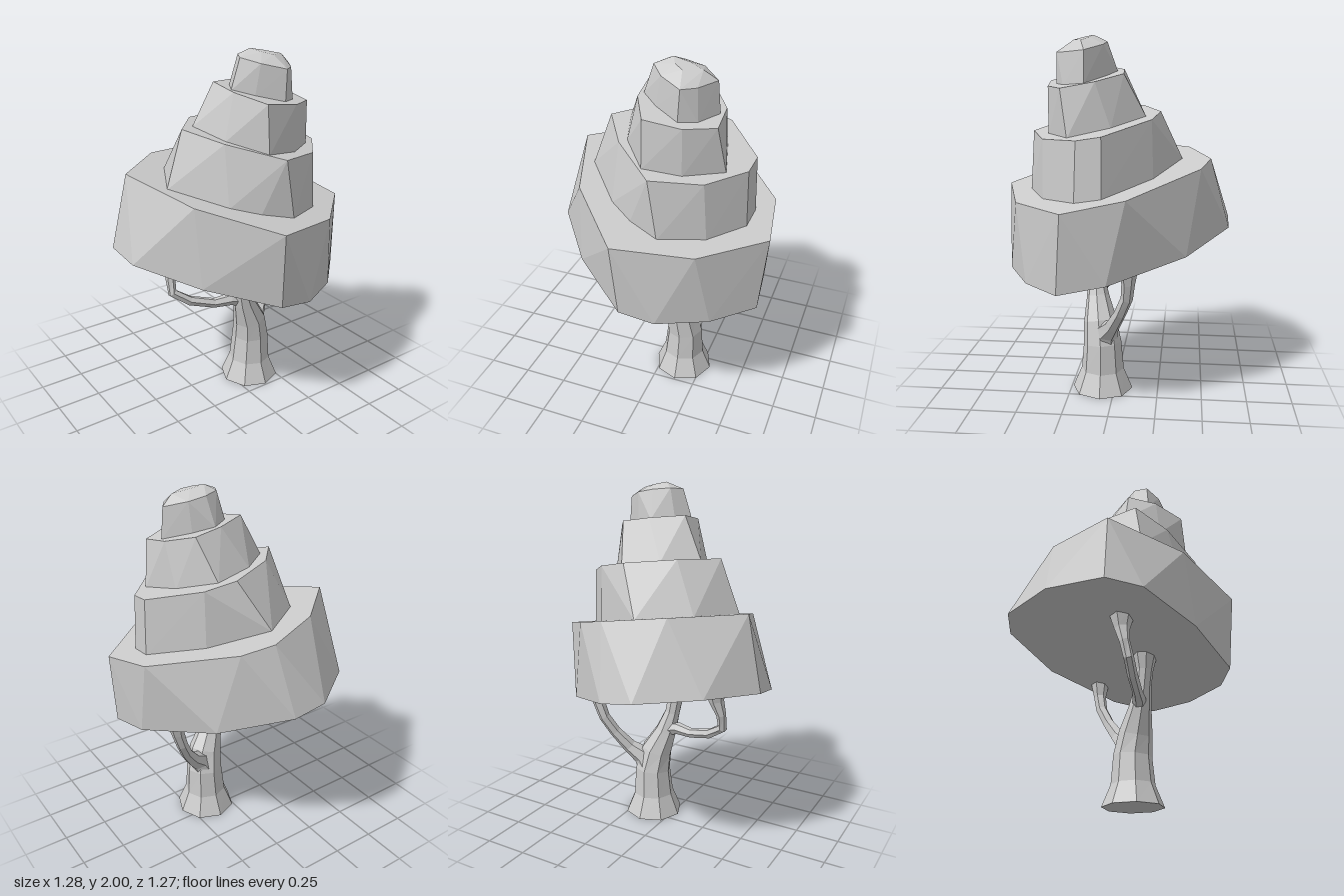
import * as THREE from 'three';
import { ConvexGeometry } from 'three/addons/geometries/ConvexGeometry.js';

const material = new THREE.MeshStandardMaterial({ color: 0xcccccc, flatShading: true });

// All foliage layers share one tilt, sloping down to the front left.
const ring = (level, points) =>
  points.map(([x, z]) => new THREE.Vector3(x, level - 0.158 * x - 0.172 * z, z));

// Faceted limb lofted through stations [x, y, z, radius].
function limbGeometry(stations, sides) {
  const centres = stations.map(([x, y, z]) => new THREE.Vector3(x, y, z));
  const rings = centres.map((c, i) => {
    const before = centres[Math.max(i - 1, 0)];
    const after = centres[Math.min(i + 1, centres.length - 1)];
    const t = after.clone().sub(before).normalize();
    const u = new THREE.Vector3(0, 0, 1).addScaledVector(t, -t.z).normalize();
    const v = t.clone().cross(u);
    const r = stations[i][3];
    return Array.from({ length: sides }, (_, k) => {
      const a = (k / sides) * Math.PI * 2;
      return c.clone().addScaledVector(u, Math.cos(a) * r).addScaledVector(v, Math.sin(a) * r);
    });
  });
  const corners = [];
  const last = rings.length - 1;
  for (let k = 0; k < sides; k++) {
    const n = (k + 1) % sides;
    for (let i = 0; i < last; i++) {
      const [a, b, c, d] = [rings[i][k], rings[i][n], rings[i + 1][n], rings[i + 1][k]];
      corners.push(a, b, c, a, c, d);
    }
    corners.push(centres[0], rings[0][n], rings[0][k]);
    corners.push(centres[last], rings[last][k], rings[last][n]);
  }
  const geometry = new THREE.BufferGeometry().setFromPoints(corners);
  geometry.computeVertexNormals();
  return geometry;
}

export function createModel() {
  const tree = new THREE.Group();
  tree.name = 'tree';
  const add = (name, geometry) => {
    const mesh = new THREE.Mesh(geometry, material);
    mesh.name = name;
    tree.add(mesh);
  };

  // Trunk and its two side branches
  add('trunk', limbGeometry([
    [0.13, 0, 0.07, 0.172], [0.13, 0.12, 0.07, 0.122], [0.135, 0.28, 0.07, 0.108],
    [0.115, 0.4, 0.085, 0.095], [0.06, 0.53, 0.105, 0.065], [0.025, 0.65, 0.12, 0.046],
    [0.01, 0.74, 0.128, 0.048], [0.005, 0.85, 0.13, 0.075],
  ], 8));
  add('leftBranch', limbGeometry([
    [0.13, 0.26, 0.06, 0.085], [0.19, 0.36, 0.04, 0.062], [0.26, 0.42, 0, 0.042],
    [0.33, 0.52, -0.05, 0.034], [0.38, 0.62, -0.09, 0.033],
    [0.41, 0.71, -0.1, 0.036], [0.425, 0.83, -0.1, 0.06],
  ], 6));
  add('rightBranch', limbGeometry([
    [0.06, 0.54, 0.1, 0.04], [-0.03, 0.563, 0.09, 0.036], [-0.13, 0.56, 0.07, 0.028],
    [-0.27, 0.6, 0.03, 0.028], [-0.365, 0.665, 0, 0.027], [-0.365, 0.75, -0.02, 0.028],
    [-0.34, 0.83, -0.03, 0.042], [-0.33, 0.92, -0.03, 0.07],
  ], 6));

  // Foliage: stacked tilted tiers, each a hull of a lower and an upper outline
  add('foliageTier1', new ConvexGeometry([
    ...ring(0.835, [[-0.645, -0.145], [-0.46, -0.435], [-0.17, -0.64], [0.02, -0.635], [0.35, -0.4],
      [0.58, 0], [0.605, 0.25], [0.4, 0.45], [0.14, 0.59], [-0.06, 0.6], [-0.39, 0.35], [-0.63, 0.05]]),
    ...ring(1.26, [[-0.555, -0.125], [-0.24, -0.41], [0.08, -0.525], [0.25, -0.47], [0.59, -0.1],
      [0.64, 0.22], [0.33, 0.51], [-0.08, 0.635], [-0.4, 0.3]]),
  ]));
  add('foliageTier2', new ConvexGeometry([
    ...ring(1.255, [[-0.42, 0.07], [-0.28, -0.2], [-0.02, -0.37], [0.29, -0.22], [0.51, 0.03],
      [0.5, 0.17], [0.34, 0.36], [0.11, 0.47], [-0.06, 0.41], [-0.2, 0.32]]),
    ...ring(1.57, [[-0.31, 0.05], [-0.145, -0.14], [0.12, -0.25], [0.29, -0.21], [0.5, 0.03],
      [0.49, 0.16], [0.32, 0.36], [0.06, 0.46], [-0.18, 0.25]]),
  ]));
  add('foliageTier3', new ConvexGeometry([
    ...ring(1.565, [[-0.215, 0], [-0.04, -0.135], [0.18, -0.175], [0.33, 0], [0.39, 0.22],
      [0.2, 0.35], [0, 0.39], [-0.15, 0.21]]),
    ...ring(1.82, [[-0.1, 0.03], [0.08, -0.05], [0.24, -0.06], [0.34, 0.08], [0.35, 0.26],
      [0.2, 0.35], [0, 0.37], [-0.09, 0.2]]),
  ]));
  add('foliageTop', new ConvexGeometry([
    ...ring(1.815, [[-0.075, 0.155], [-0.02, 0.06], [0.09, -0.015], [0.2, 0.035], [0.325, 0.14],
      [0.25, 0.26], [0.16, 0.31], [0.02, 0.235]]),
    ...ring(1.985, [[-0.02, 0.155], [0.02, 0.08], [0.11, 0.04], [0.21, 0.05], [0.31, 0.14],
      [0.24, 0.25], [0.17, 0.305], [0.05, 0.24]]),
    ...ring(2.03, [[0.07, 0.12], [0.15, 0.13], [0.24, 0.165], [0.15, 0.215], [0.1, 0.18]]),
  ]));
  return tree;
}
